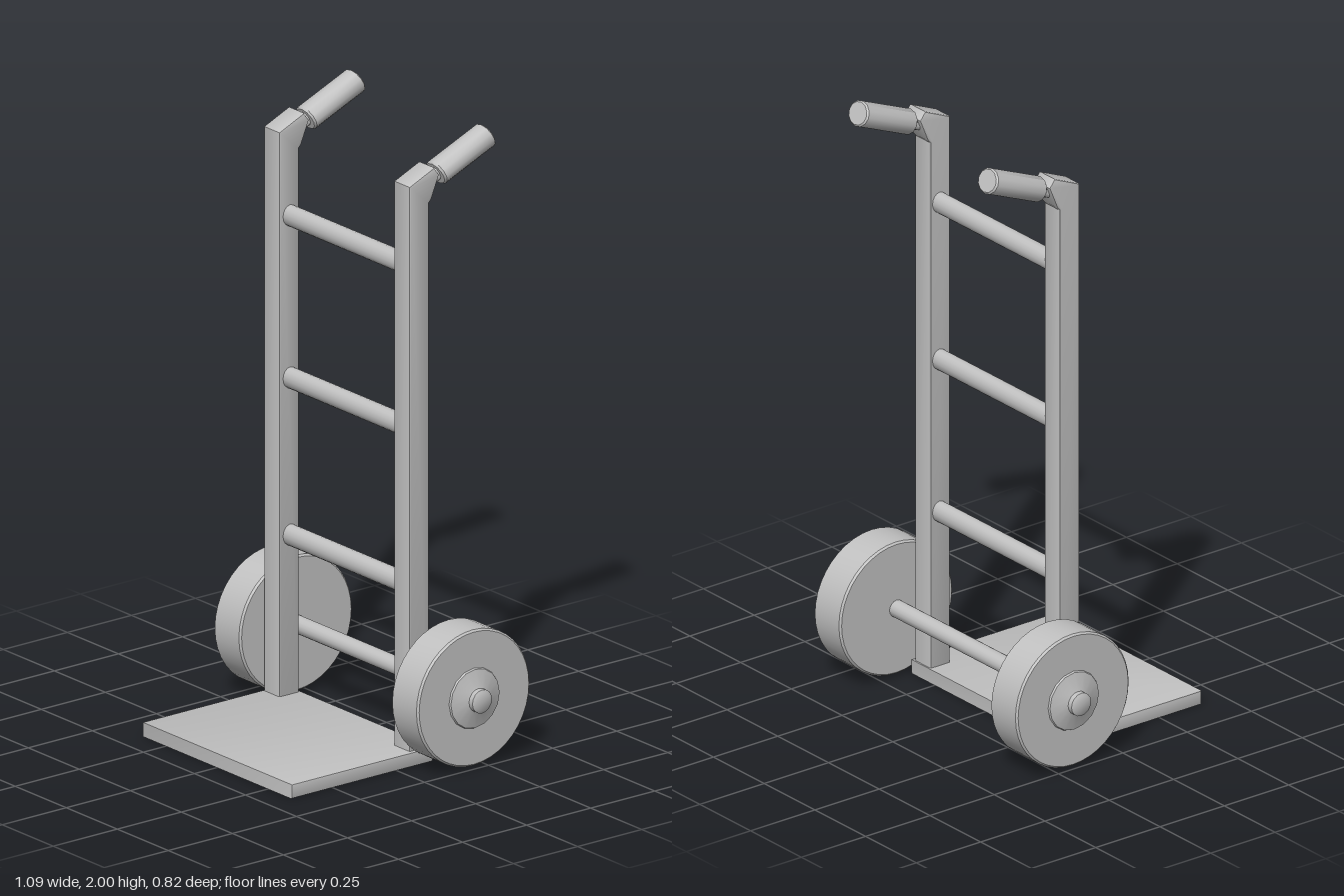
import * as THREE from 'three';
import { toCreasedNormals } from 'three/addons/utils/BufferGeometryUtils.js';

export function createModel() {
  const group = new THREE.Group();
  const grey = new THREE.MeshStandardMaterial({ color: 0xc0c0c0 });
  grey.name = 'grey metal';

  const add = (name, geometry, x = 0, y = 0, z = 0) => {
    const mesh = new THREE.Mesh(toCreasedNormals(geometry, 0.7), grey);
    mesh.name = name;
    mesh.position.set(x, y, z);
    group.add(mesh);
    return mesh;
  };

  // Bevelled slab: outline given as [z, y] points, thickness along x
  const slab = (points, width, bevel) => {
    const shape = new THREE.Shape(points.map(([z, y]) => new THREE.Vector2(-z, y)));
    const geometry = new THREE.ExtrudeGeometry(shape, {
      depth: width - 2 * bevel, bevelEnabled: true, bevelThickness: bevel,
      bevelSize: bevel, bevelOffset: -bevel, bevelSegments: 2,
    });
    geometry.translate(0, 0, -(width - 2 * bevel) / 2);
    return geometry.rotateY(Math.PI / 2);
  };

  // Toe plate
  add('toePlate', slab([[0.412, 0], [0.412, 0.046], [-0.14, 0.046], [-0.14, 0]], 0.733, 0.005));

  // Upright rails with bent tops
  const rail = [[-0.058, 0.03], [-0.135, 0.03], [-0.135, 1.805], [-0.145, 1.816],
    [-0.175, 1.889], [-0.155, 1.915], [-0.058, 1.873]];

  // Wheel profile: radius, distance outward from the inner face
  const wheel = [[0, 0], [0.214, 0], [0.22, 0.006], [0.22, 0.124], [0.214, 0.13], [0, 0.13]];
  const hub = [[0.1, 0.125], [0.095, 0.136], [0.045, 0.15], [0.038, 0.153], [0.038, 0.17], [0.028, 0.176], [0, 0.176]];
  const lathe = (points, segments) =>
    new THREE.LatheGeometry(points.map(([r, h]) => new THREE.Vector2(r, h)), segments);

  for (const side of [1, -1]) {
    const prefix = side > 0 ? 'left' : 'right';
    const x = side * 0.319 - 0.004;
    add(prefix + 'Rail', slab(rail, 0.078, 0.006), x);

    // Grip leaning back and up, joined by a thin neck
    const lean = -1.174;
    const grip = lathe([[0, -0.107], [0.036, -0.107], [0.041, -0.101], [0.041, 0.102],
      [0.036, 0.107], [0, 0.107]], 12);
    grip.scale(1.15, 1, 1);
    add(prefix + 'Grip', grip, x, 1.92, -0.289).rotation.x = lean;
    add(prefix + 'GripNeck', new THREE.CylinderGeometry(0.024, 0.024, 0.06, 10), x, 1.876, -0.18).rotation.x = lean;

    // Wheel and hub turned so the profile points outward
    for (const [name, profile, segments] of [['Wheel', wheel, 40], ['Hub', hub, 16]]) {
      add(prefix + name, lathe(profile, segments), side * 0.37, 0.23, -0.193).rotation.z = -side * Math.PI / 2;
    }
  }

  // Axle
  add('axle', new THREE.CylinderGeometry(0.028, 0.028, 0.76, 16), 0, 0.23, -0.193).rotation.z = Math.PI / 2;

  // Cross rungs with an oval section
  for (const y of [0.563, 1.072, 1.597]) {
    const rung = new THREE.CylinderGeometry(0.034, 0.034, 0.58, 16);
    rung.rotateZ(Math.PI / 2).scale(1, 1, 0.82);
    add('rung', rung, -0.004, y, -0.1);
  }
  return group;
}
